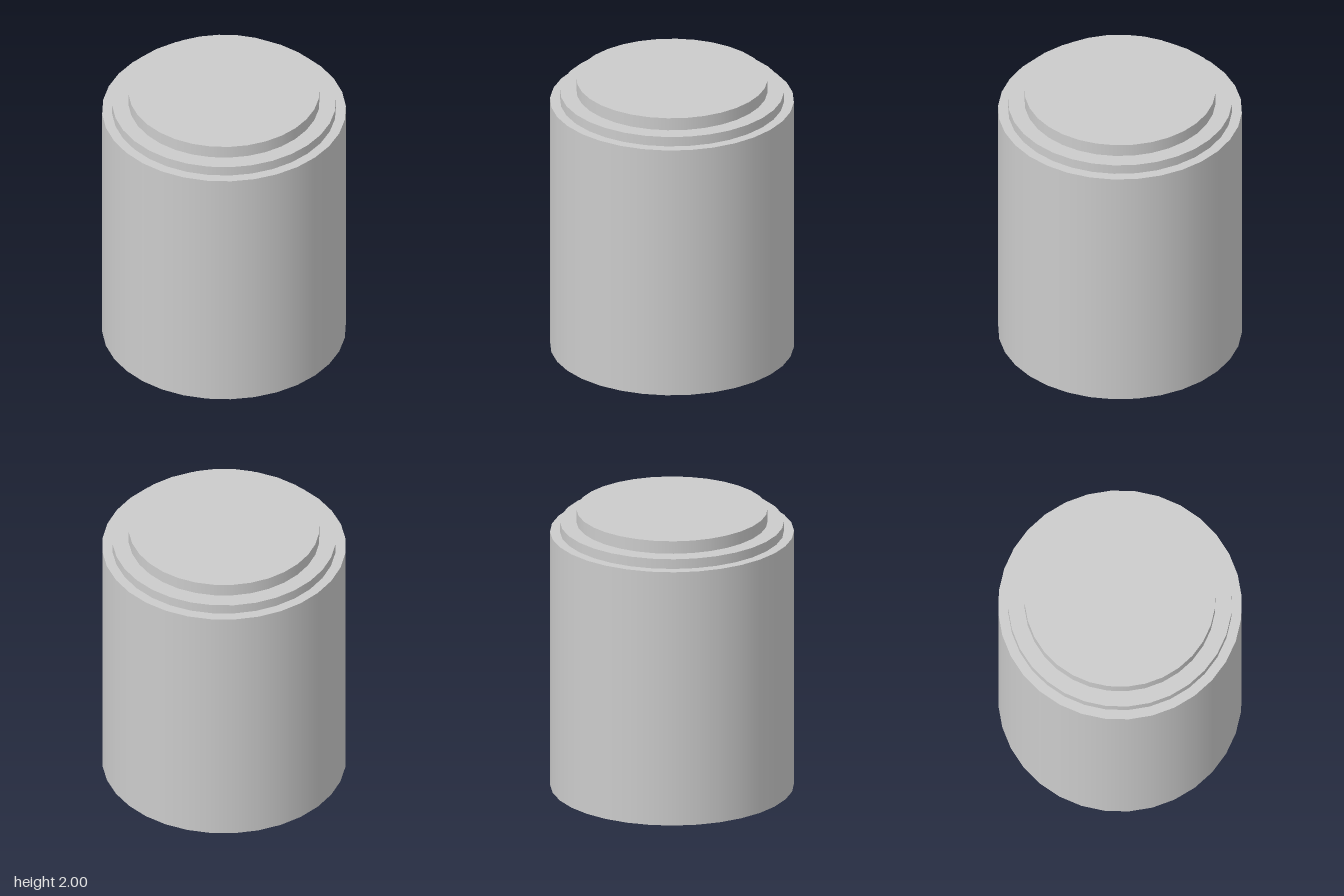
import * as THREE from 'three';

const SIDES = 32;

export function createModel() {
  const group = new THREE.Group();
  const material = new THREE.MeshStandardMaterial({ color: 0xcccccc });

  // Upright round tier between two heights
  const addTier = (name, radius, bottom, top) => {
    const geometry = new THREE.CylinderGeometry(radius, radius, top - bottom, SIDES);
    const mesh = new THREE.Mesh(geometry, material);
    mesh.name = name;
    mesh.position.y = (bottom + top) / 2;
    group.add(mesh);
  };

  addTier('body', 0.834, 0, 1.84);
  addTier('shoulderRing', 0.766, 1.84, 1.91);
  addTier('topDisc', 0.654, 1.91, 2);

  return group;
}
